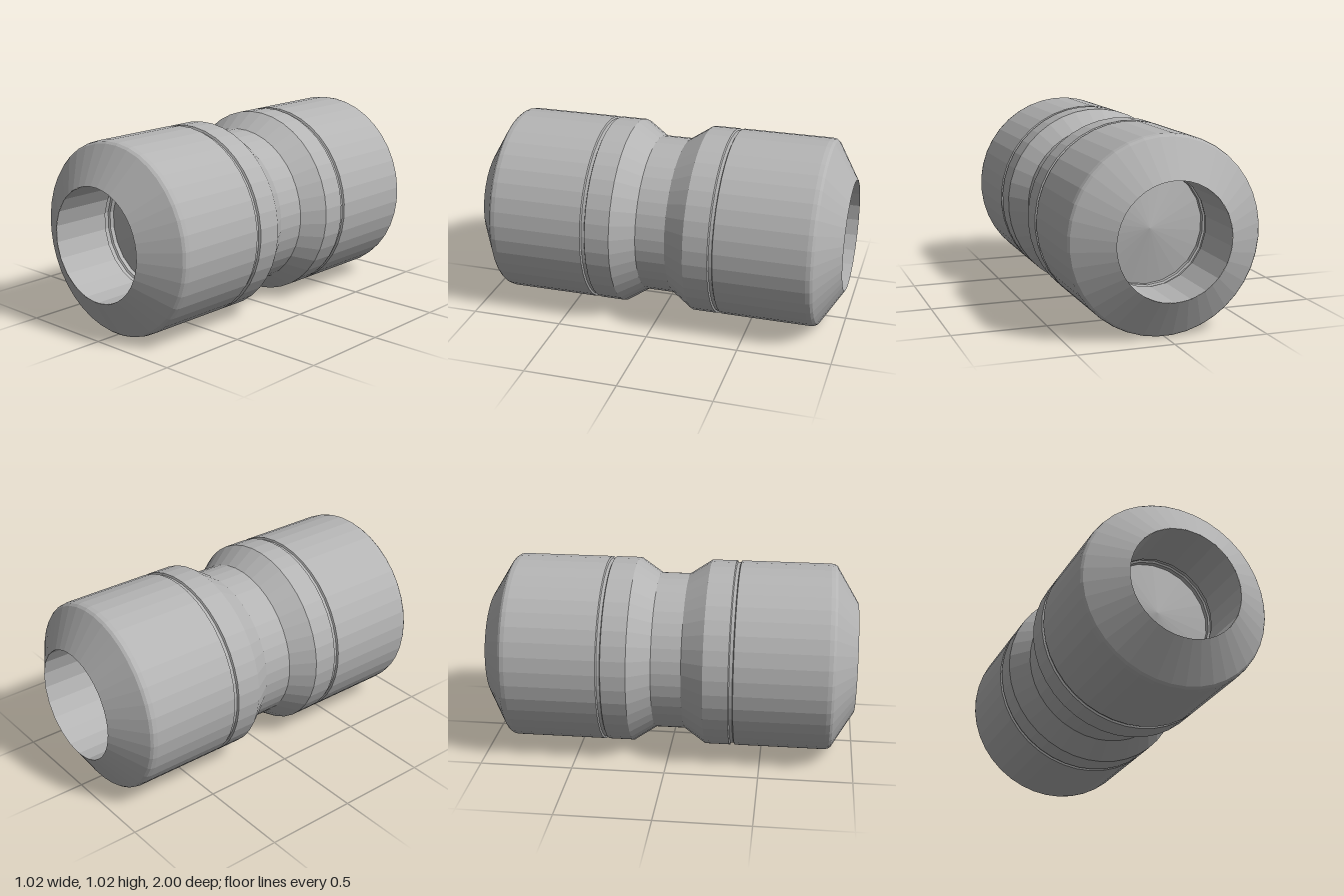
import * as THREE from 'three';

export function createModel() {
  const model = new THREE.Group();
  const metal = new THREE.MeshStandardMaterial({ color: 0xb4b4b4, flatShading: true });
  metal.name = 'plain grey metal';

  // Turns a [radius, z] profile around the long z axis.
  const turn = (name, profile, sides, start = 0) => {
    const points = profile.map(([r, z]) => new THREE.Vector2(r, z));
    const geometry = new THREE.LatheGeometry(points, sides, start);
    geometry.rotateX(Math.PI / 2);
    const mesh = new THREE.Mesh(geometry, metal);
    mesh.name = name;
    mesh.position.y = 0.51;
    model.add(mesh);
    return mesh;
  };

  // Outer body: waist, shoulder, groove, barrel, rounded corner, end chamfer
  const half = [
    [0.43, 0.08], [0.51, 0.2], [0.51, 0.333], [0.5, 0.338], [0.5, 0.355],
    [0.51, 0.36], [0.51, 0.845], [0.506, 0.867], [0.496, 0.88], [0.3, 1],
  ];
  const mirrored = half.map(([r, z]) => [r, -z]).reverse();
  turn('outerBody', [...mirrored, ...half], 40, Math.PI / 40);

  // Bores at both ends, each with a narrow groove and a low pointed floor
  for (const [name, angle] of [['front', 0], ['back', Math.PI]]) {
    const bore = turn(name + 'Bore', [
      [0.302, 1], [0.302, 0.67], [0.312, 0.665], [0.312, 0.64], [0.302, 0.635], [0.302, 0.61],
    ], 22);
    const floor = turn(name + 'BoreFloor', [[0.303, 0.61], [0, 0.66]], 22);
    bore.rotation.y = floor.rotation.y = angle;
  }

  return model;
}
